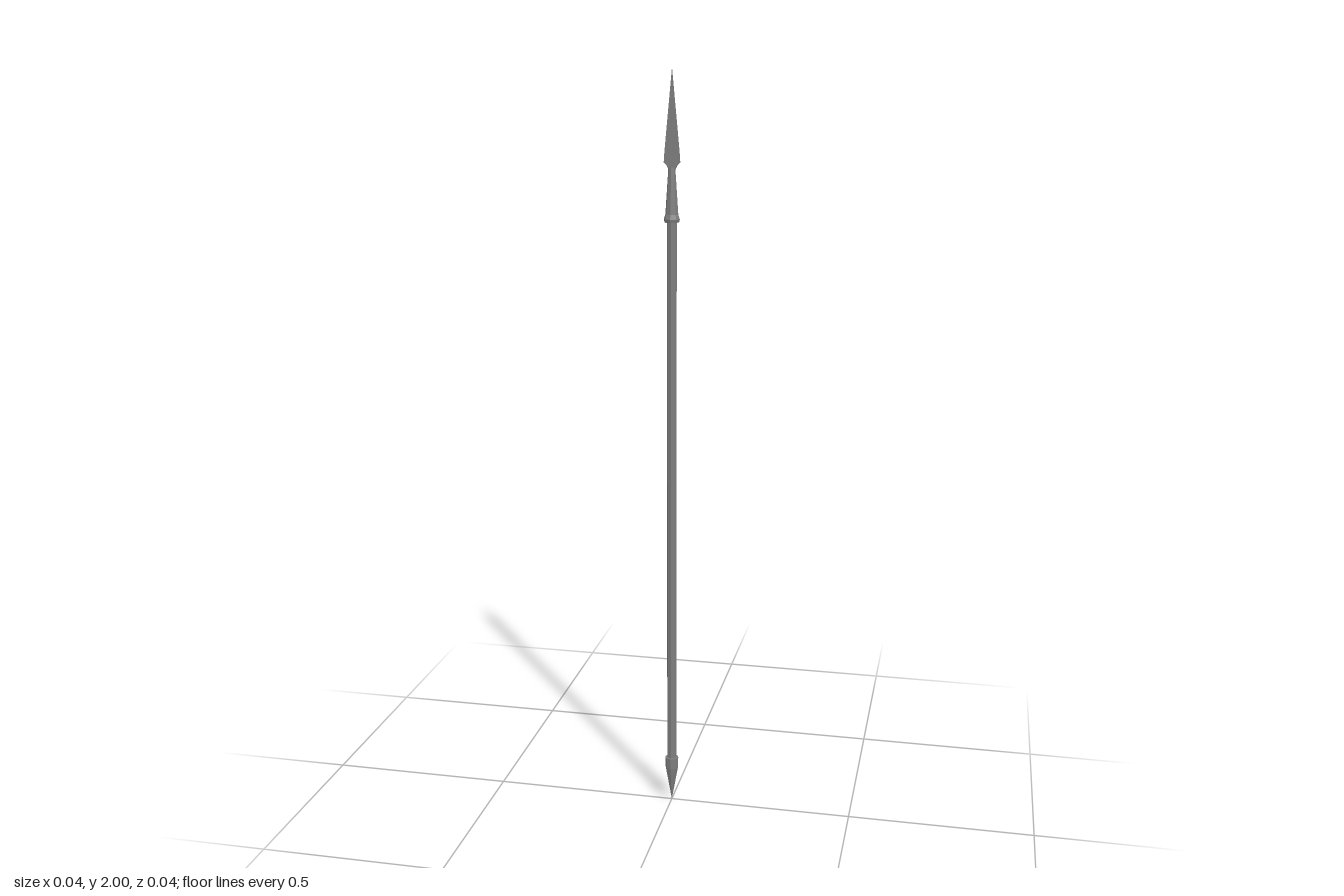
import * as THREE from 'three';

const SIDES = 8;
const darkGrey = new THREE.MeshStandardMaterial({ color: 0x7f7f7f, flatShading: true });

function add(group, name, geometry) {
  const mesh = new THREE.Mesh(geometry, darkGrey);
  mesh.name = name;
  group.add(mesh);
  return mesh;
}

// Eight-sided turned part, profile listed from bottom to top as [radius, y]
function turned(profile) {
  return new THREE.LatheGeometry(profile.map(([r, y]) => new THREE.Vector2(r, y)), SIDES);
}

export function createModel() {
  const spear = new THREE.Group();
  spear.name = 'spear';

  // Long straight pole
  add(spear, 'shaft', turned([[0, 0.1], [0.013, 0.1], [0.013, 1.65], [0, 1.65]]));

  // Pointed metal foot with a short collar
  add(spear, 'buttSpike', turned([[0, 0], [0.018, 0.1], [0.0185, 0.13], [0, 0.13]]));

  // Tapered socket with a flared rim
  add(spear, 'socket', turned([
    [0, 1.622], [0.019, 1.622], [0.021, 1.63], [0.017, 1.642], [0.009, 1.76], [0, 1.76],
  ]));

  // Flat, thin blade with straight edges and short shoulders
  const outline = new THREE.Shape([
    [-0.009, 1.755], [0.009, 1.755], [0.014, 1.766], [0.021, 1.772],
    [0.019, 1.8], [0, 2], [-0.019, 1.8], [-0.021, 1.772], [-0.014, 1.766],
  ].map(([x, y]) => new THREE.Vector2(x, y)));
  const thickness = 0.006;
  const blade = add(spear, 'blade',
    new THREE.ExtrudeGeometry(outline, { depth: thickness, bevelEnabled: false }));
  blade.position.z = -0.002 - thickness / 2;

  return spear;
}
